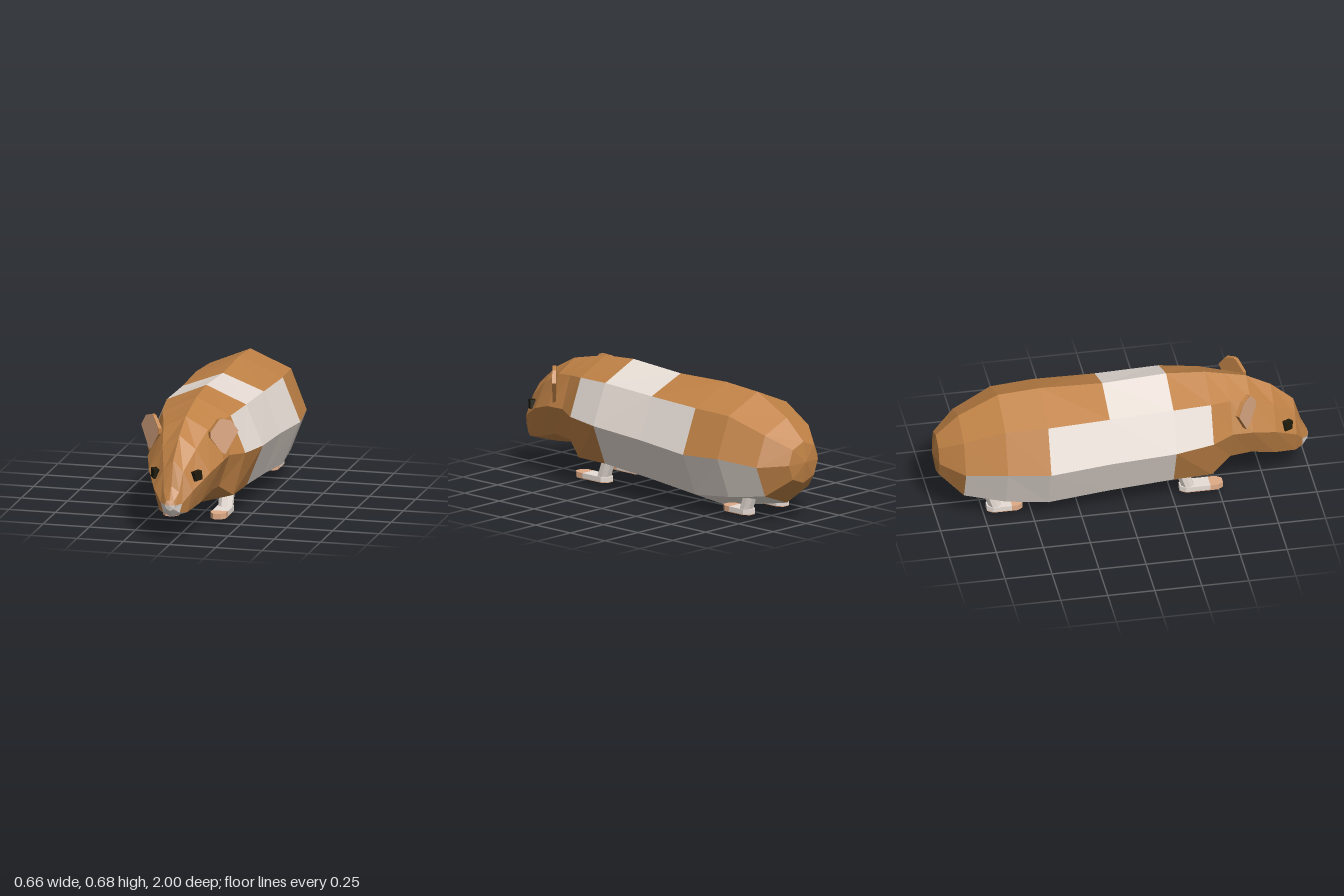
import * as THREE from 'three';

const mat = (name, color, extra = {}) => {
  const m = new THREE.MeshStandardMaterial({ color, flatShading: true, ...extra });
  m.name = name;
  return m;
};

// Half cross-sections, nose to rump: z, top y, upper x/y, side x/y, lower x/y, bottom y
const RINGS = [
  [1.0, 0.21, 0, 0.21, 0, 0.21, 0, 0.21, 0.21],
  [0.992, 0.238, 0.02, 0.23, 0.028, 0.21, 0.02, 0.19, 0.178],
  [0.96, 0.305, 0.042, 0.275, 0.058, 0.215, 0.045, 0.165, 0.14],
  [0.92, 0.435, 0.053, 0.375, 0.105, 0.275, 0.075, 0.16, 0.135],
  [0.80, 0.54, 0.09, 0.47, 0.165, 0.345, 0.115, 0.185, 0.14],
  [0.67, 0.61, 0.12, 0.545, 0.205, 0.385, 0.145, 0.225, 0.155],
  [0.56, 0.635, 0.15, 0.56, 0.21, 0.388, 0.15, 0.215, 0.14],
  [0.45, 0.66, 0.185, 0.572, 0.265, 0.375, 0.20, 0.145, 0.088],
  [0.245, 0.675, 0.215, 0.583, 0.305, 0.367, 0.218, 0.15, 0.062],
  [-0.095, 0.655, 0.22, 0.57, 0.31, 0.35, 0.22, 0.125, 0.037],
  [-0.425, 0.665, 0.235, 0.565, 0.33, 0.33, 0.235, 0.10, 0],
  [-0.65, 0.65, 0.22, 0.557, 0.305, 0.34, 0.22, 0.122, 0.045],
  [-0.86, 0.545, 0.165, 0.477, 0.23, 0.315, 0.165, 0.15, 0.088],
  [-0.98, 0.437, 0.08, 0.405, 0.11, 0.325, 0.08, 0.245, 0.215],
  [-1.0, 0.33, 0, 0.33, 0, 0.33, 0, 0.33, 0.33],
];
// Band range [first, end) of the white patch on each strip, top strip to belly strip
const PATCH = [[8, 9], [7, 10], [8, 12], [8, 12]];

function bodyGeometry() {
  const lists = [[], [], []]; // fur, white, pink
  const point = (i, j, s) => {
    const [z, top, ux, uy, sx, sy, lx, ly, bottom] = RINGS[i];
    const [x, y] = [[0, top], [ux, uy], [sx, sy], [lx, ly], [0, bottom]][j];
    return [x * s, y, z];
  };
  const colourOf = (i, j) => {
    if (i === 0) return j < 2 ? 2 : 1;
    if ((i === 1 && j > 1) || (i === 2 && j === 3)) return 1;
    return i >= PATCH[j][0] && i < PATCH[j][1] ? 1 : 0;
  };
  for (let i = 0; i < RINGS.length - 1; i++) {
    for (let j = 0; j < 4; j++) {
      for (const s of [1, -1]) {
        const a = point(i, j, s), b = point(i, j + 1, s);
        const c = point(i + 1, j + 1, s), d = point(i + 1, j, s);
        const tris = [];
        if (i > 0) tris.push([a, b, d]);
        if (i === 0) tris.push([a, c, d]);
        else if (i < RINGS.length - 2) tris.push([b, c, d]);
        for (const t of tris) lists[colourOf(i, j)].push(...(s > 0 ? t : t.reverse()).flat());
      }
    }
  }
  const geo = new THREE.BufferGeometry();
  geo.setAttribute('position', new THREE.Float32BufferAttribute(lists.flat(), 3));
  let start = 0;
  lists.forEach((l, k) => {
    geo.addGroup(start, l.length / 3, k);
    start += l.length / 3;
  });
  geo.computeVertexNormals();
  return geo;
}

const shapeFrom = (pts) => new THREE.Shape(pts.map(([x, y]) => new THREE.Vector2(x, y)));
const extrude = (pts, depth) =>
  new THREE.ExtrudeGeometry(shapeFrom(pts), { depth, bevelEnabled: false });

export function createModel() {
  const fur = mat('ginger fur', 0xc08246);
  const white = mat('white fur', 0xebe1d9);
  const pink = mat('pink skin', 0xe0ab87);
  const black = mat('black eye', 0x1f1b0c);

  const model = new THREE.Group();
  model.name = 'smallRodent';
  const add = (parent, name, geo, material) => {
    const m = new THREE.Mesh(geo, material);
    m.name = name;
    parent.add(m);
    return m;
  };

  add(model, 'bodyAndHead', bodyGeometry(), [fur, white, pink]);

  for (const s of [1, -1]) {
    const side = s > 0 ? 'left' : 'right';

    // Ear: thin slab facing forward and outward, with a pink inner face
    const outline = [[0, 0.51], [0, 0.54], [0.05, 0.6], [0.068, 0.605], [0.12, 0.59],
      [0.165, 0.53], [0.088, 0.41], [0.065, 0.425]].map(([u, y]) => [u * s, y]);
    const ear = new THREE.Group();
    ear.name = side + 'Ear';
    add(ear, 'earBack', extrude(outline, 0.02).translate(0, 0, -0.02), fur);
    add(ear, 'earInner', new THREE.ShapeGeometry(shapeFrom(outline)).translate(0, 0, 0.002), pink);
    ear.position.set(0.14 * s, 0, 0.695);
    ear.rotation.y = 0.743 * s;
    model.add(ear);

    // Eye: small slanted block set in the cheek
    const eye = add(model, side + 'Eye', new THREE.BoxGeometry(0.05, 0.048, 0.03), black);
    eye.position.set(0.113 * s, 0.347, 0.868);
    eye.rotation.set(0, 1.0 * s, 0.1 * s);

    // Legs: slanted shin, white foot, pink toes and sole
    for (const [name, heel, length, tip] of [['Front', 0.29, 0.23, 0.07], ['Hind', -0.735, 0.19, 0.06]]) {
      const leg = new THREE.Group();
      leg.name = side + name + 'Leg';
      leg.position.set(0.128 * s, 0, heel);

      const shin = new THREE.CylinderGeometry(1, 1, 0.1, 8).rotateY(Math.PI / 8).scale(0.041, 1, 0.036);
      const p = shin.attributes.position;
      for (let k = 0; k < p.count; k++) p.setZ(k, p.getZ(k) - p.getY(k) * 0.35);
      shin.computeVertexNormals();
      add(leg, 'shin', shin.translate(0, 0.09, 0.03), white);

      // Outlines drawn in x and -z, then laid flat
      const cut = length - tip;
      const heelPts = [[-0.02, 0], [-0.042, -0.03], [-0.042, -cut], [0.042, -cut], [0.042, -0.03], [0.02, 0]];
      const toePts = [[-0.042, -cut], [-0.042, 0.03 - length], [-0.021, -length],
        [0.021, -length], [0.042, 0.03 - length], [0.042, -cut]];
      const flat = (pts, y, h) => extrude(pts, h).rotateX(-Math.PI / 2).translate(0, y, 0);
      add(leg, 'foot', flat(heelPts, 0.029, 0.026), white);
      add(leg, 'sole', flat(heelPts, 0.025, 0.004), pink);
      add(leg, 'toes', flat(toePts, 0.025, 0.03), pink);
      model.add(leg);
    }
  }
  return model;
}
